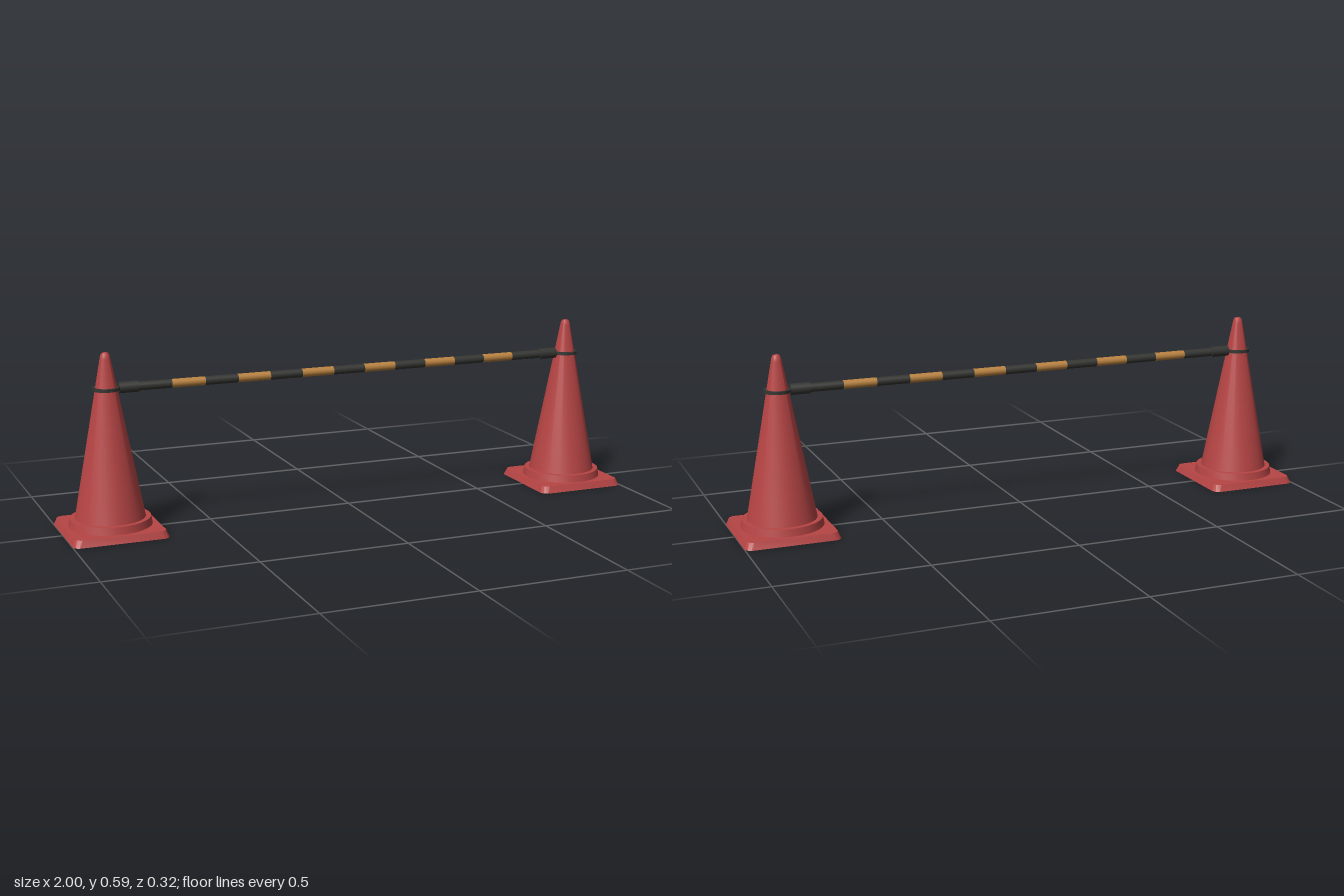
import * as THREE from 'three';
import { toCreasedNormals } from 'three/addons/utils/BufferGeometryUtils.js';

const red = new THREE.MeshStandardMaterial({ color: 0xb84545 });
red.name = 'cone red';
const black = new THREE.MeshStandardMaterial({ color: 0x353532 });
black.name = 'rubber black';
const amber = new THREE.MeshStandardMaterial({ color: 0xb98240 });
amber.name = 'stripe amber';

const CONE_X = 0.841;
const BAR_Y = 0.474;

function add(parent, name, geometry, material) {
  const mesh = new THREE.Mesh(geometry, material);
  mesh.name = name;
  parent.add(mesh);
  return mesh;
}

// Turned part with sharp edges kept
function turned(points, segments = 48) {
  const profile = points.map(([r, y]) => new THREE.Vector2(r, y));
  return toCreasedNormals(new THREE.LatheGeometry(profile, segments), 0.6);
}

// Rounded square slab, narrowing towards the top
function footGeometry(half, topHalf, height, r) {
  const k = half - r;
  const s = new THREE.Shape();
  s.absarc(k, k, r, 0, Math.PI / 2);
  s.absarc(-k, k, r, Math.PI / 2, Math.PI);
  s.absarc(-k, -k, r, Math.PI, Math.PI * 1.5);
  s.absarc(k, -k, r, Math.PI * 1.5, Math.PI * 2);
  const g = new THREE.ExtrudeGeometry(s, { depth: height, bevelEnabled: false, curveSegments: 8 });
  g.rotateX(-Math.PI / 2);
  const p = g.attributes.position;
  for (let i = 0; i < p.count; i++) {
    if (p.getY(i) > height / 2) {
      p.setX(i, p.getX(i) * topHalf / half);
      p.setZ(i, p.getZ(i) * topHalf / half);
    }
  }
  return toCreasedNormals(g, 0.6);
}

function createCone(name, x) {
  const cone = new THREE.Group();
  cone.name = name;
  cone.position.x = x;
  add(cone, 'foot', footGeometry(0.159, 0.15, 0.023, 0.025), red);
  // Round step, tapering body and rounded tip
  add(cone, 'body', turned([
    [0.137, 0.022], [0.132, 0.048], [0.115, 0.048], [0.0175, 0.572],
    [0.0155, 0.581], [0.0135, 0.587], [0.0095, 0.591], [0, 0.591],
  ]), red);
  // Collar ring that holds the bar
  add(cone, 'ring', turned([
    [0.034, BAR_Y - 0.005], [0.0445, BAR_Y - 0.005], [0.0445, BAR_Y + 0.005],
    [0.034, BAR_Y + 0.005], [0.034, BAR_Y - 0.005],
  ]), black);
  return cone;
}

export function createModel() {
  const model = new THREE.Group();
  model.name = 'coneBarrier';

  const bar = new THREE.Group();
  bar.name = 'bar';
  bar.position.y = BAR_Y;
  model.add(bar);

  // Striped bar, black at both ends
  const count = 13;
  const length = 1.474 / count;
  const stripe = new THREE.CylinderGeometry(0.0145, 0.0145, length, 24, 1, true).rotateZ(Math.PI / 2);
  for (let i = 0; i < count; i++) {
    const dark = i % 2 === 0;
    const part = add(bar, dark ? 'blackStripe' : 'amberStripe', stripe, dark ? black : amber);
    part.position.x = (i - (count - 1) / 2) * length;
  }

  // A cone and an end sleeve on each side
  for (const side of [-1, 1]) {
    model.add(createCone(side > 0 ? 'leftCone' : 'rightCone', side * CONE_X));
    const sleeve = add(bar, 'endSleeve', new THREE.CylinderGeometry(0.0185, 0.0185, 0.066, 24).rotateZ(Math.PI / 2), black);
    sleeve.position.x = side * 0.768;
  }
  return model;
}
